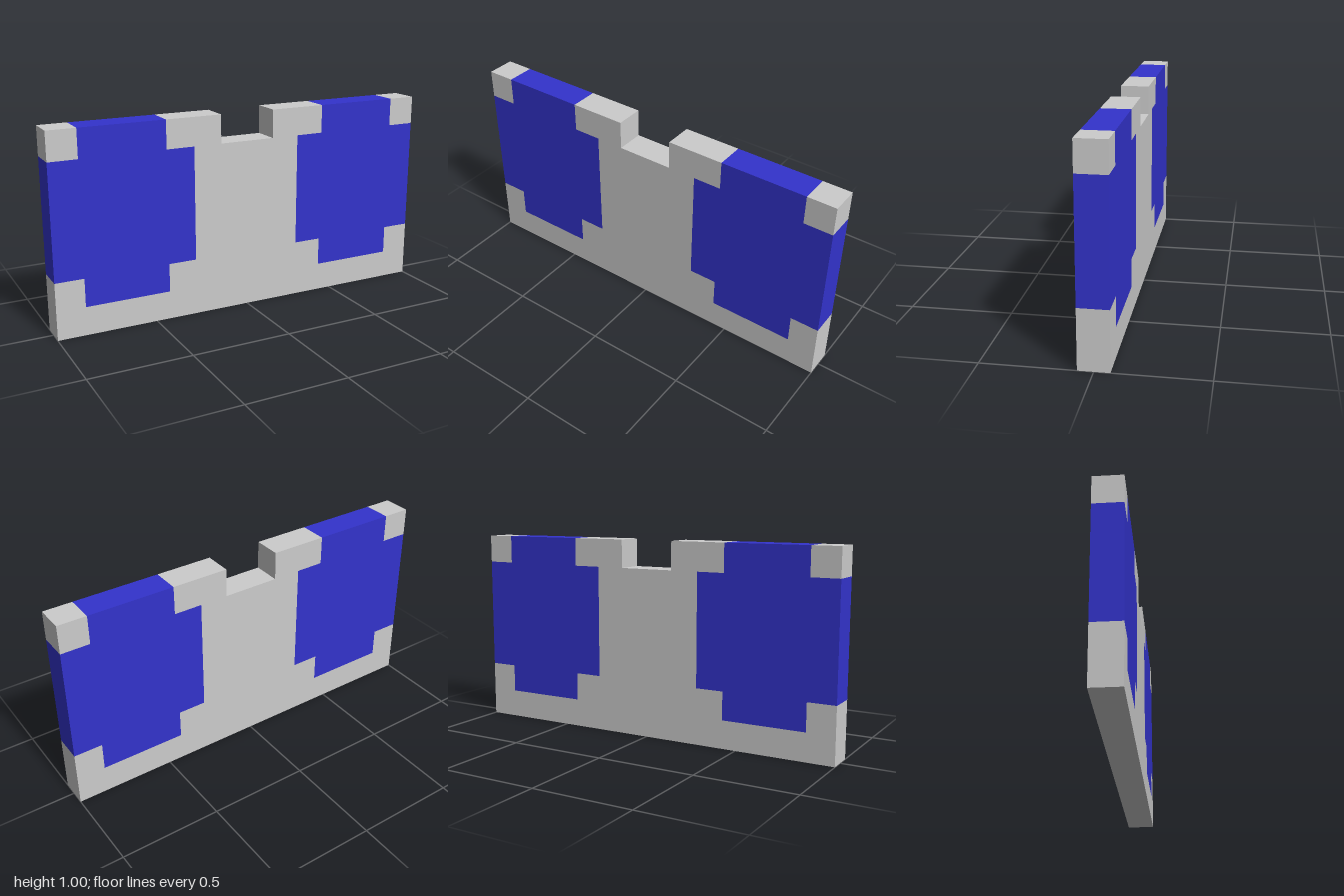
import * as THREE from 'three';

const U = 1 / 7; // grid unit: the plate is 14 x 7 x 1 units

// Extrude an outline given in grid units, centred on z = 0
function slab(name, points, material) {
  const shape = new THREE.Shape(points.map(([x, y]) => new THREE.Vector2(x * U, y * U)));
  const geometry = new THREE.ExtrudeGeometry(shape, { depth: U, bevelEnabled: false });
  geometry.translate(0, 0, -U / 2);
  const mesh = new THREE.Mesh(geometry, material);
  mesh.name = name;
  return mesh;
}

const mirror = (points) => points.map(([x, y]) => [-x, y]).reverse();

export function createModel() {
  const group = new THREE.Group();
  group.name = 'notchedPlate';

  const grey = new THREE.MeshStandardMaterial({ color: 0xcccccc });
  grey.name = 'light grey';
  const blue = new THREE.MeshStandardMaterial({ color: 0x3333cc });
  blue.name = 'blue';

  // Plate body with the top notch and stepped cut-outs for the panels
  const half = [
    [7, 0], [7, 2], [6, 2], [6, 1], [3, 1], [3, 2],
    [2, 2], [2, 6], [3, 6], [3, 7], [1, 7], [1, 6],
  ];
  group.add(slab('plateBody', [...half, ...mirror(half)], grey));

  // Stepped blue panels and the grey upper corners, mirrored left and right
  const panel = [
    [7, 2], [7, 6], [6, 6], [6, 7], [3, 7], [3, 6],
    [2, 6], [2, 2], [3, 2], [3, 1], [6, 1], [6, 2],
  ];
  const corner = [[6, 6], [7, 6], [7, 7], [6, 7]];
  group.add(slab('leftPanel', panel, blue), slab('rightPanel', mirror(panel), blue));
  group.add(slab('leftCorner', corner, grey), slab('rightCorner', mirror(corner), grey));

  return group;
}
